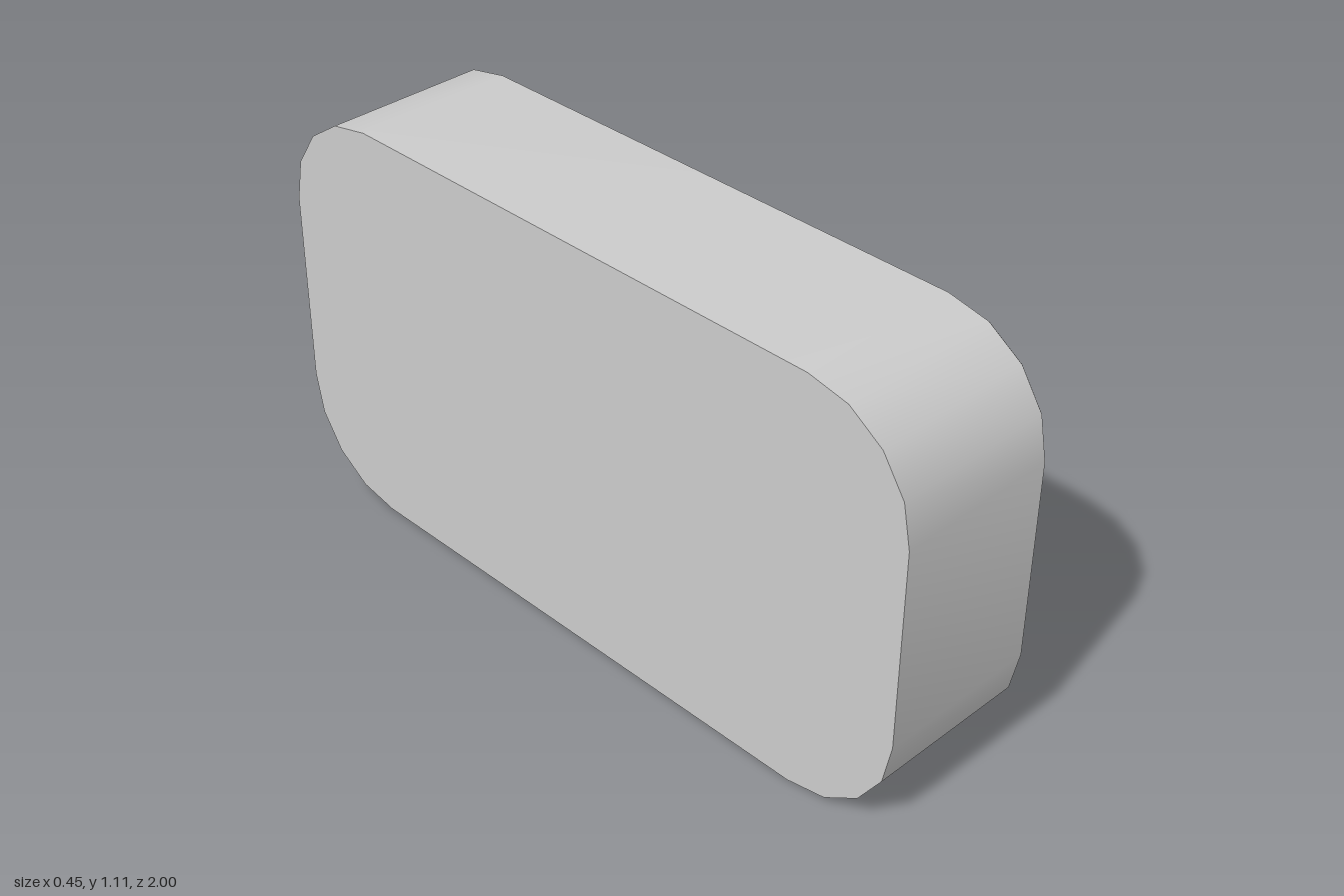
import * as THREE from 'three';
import { toCreasedNormals } from 'three/addons/utils/BufferGeometryUtils.js';

const HALF_LENGTH = 1, HEIGHT = 1.11, RADIUS = 0.29, CORNER_STEPS = 4;

// Rounded rectangle in the z-y plane, shrunk inward by inset
function outline(x, inset) {
  const points = [];
  const cz = HALF_LENGTH - RADIUS, cy = HEIGHT / 2 - RADIUS, r = RADIUS - inset;
  [[1, 1], [-1, 1], [-1, -1], [1, -1]].forEach(([sz, sy], corner) => {
    for (let i = 0; i <= CORNER_STEPS; i++) {
      const a = (corner + i / CORNER_STEPS) * Math.PI / 2;
      points.push([x, HEIGHT / 2 + sy * cy + r * Math.sin(a), sz * cz + r * Math.cos(a)]);
    }
  });
  return points;
}

// Open tray lofted from the back, round the bevelled rim and in to the inner wall
function trayGeometry() {
  const sections = [
    [-0.225, 0], [0.213, 0], [0.222, 0.009], [0.222, 0.029], [0.214, 0.037], [-0.19, 0.037],
  ];
  const rings = sections.map(([x, inset]) => outline(x, inset));
  const n = rings[0].length;
  const positions = rings.flat(2);
  const index = [];
  for (let s = 0; s < rings.length - 1; s++) {
    for (let j = 0; j < n; j++) {
      const k = (j + 1) % n;
      const a = s * n + j, b = s * n + k, c = a + n, d = b + n;
      index.push(a, c, b, b, c, d);
    }
  }
  // Outer back face and inner back wall
  const centre = rings.length * n, last = (rings.length - 1) * n;
  positions.push(-0.225, HEIGHT / 2, 0, -0.19, HEIGHT / 2, 0);
  for (let j = 0; j < n; j++) {
    const k = (j + 1) % n;
    index.push(centre, j, k, last + j, centre + 1, last + k);
  }
  const geometry = new THREE.BufferGeometry();
  geometry.setAttribute('position', new THREE.Float32BufferAttribute(positions, 3));
  geometry.setIndex(index);
  return toCreasedNormals(geometry, Math.PI / 6);
}

export function createModel() {
  const group = new THREE.Group();
  const material = new THREE.MeshStandardMaterial({ color: 0xcccccc });

  const add = (name, geometry) => {
    const mesh = new THREE.Mesh(geometry, material);
    mesh.name = name;
    group.add(mesh);
  };
  const board = (name, [x0, x1], [y0, y1], [z0, z1]) => {
    const geometry = new THREE.BoxGeometry(x1 - x0, y1 - y0, z1 - z0);
    geometry.translate((x0 + x1) / 2, (y0 + y1) / 2, (z0 + z1) / 2);
    add(name, geometry);
  };

  add('shell', trayGeometry());

  // Boards standing inside the shell, set back from the rim
  board('upperShelf', [-0.2, 0.14], [0.715, 0.775], [-0.965, 0.965]);
  board('lowerShelf', [-0.2, 0.14], [0.335, 0.395], [-0.965, 0.945]);
  board('divider', [-0.2, 0.175], [0.055, 1.08], [0.3, 0.34]);

  return group;
}
